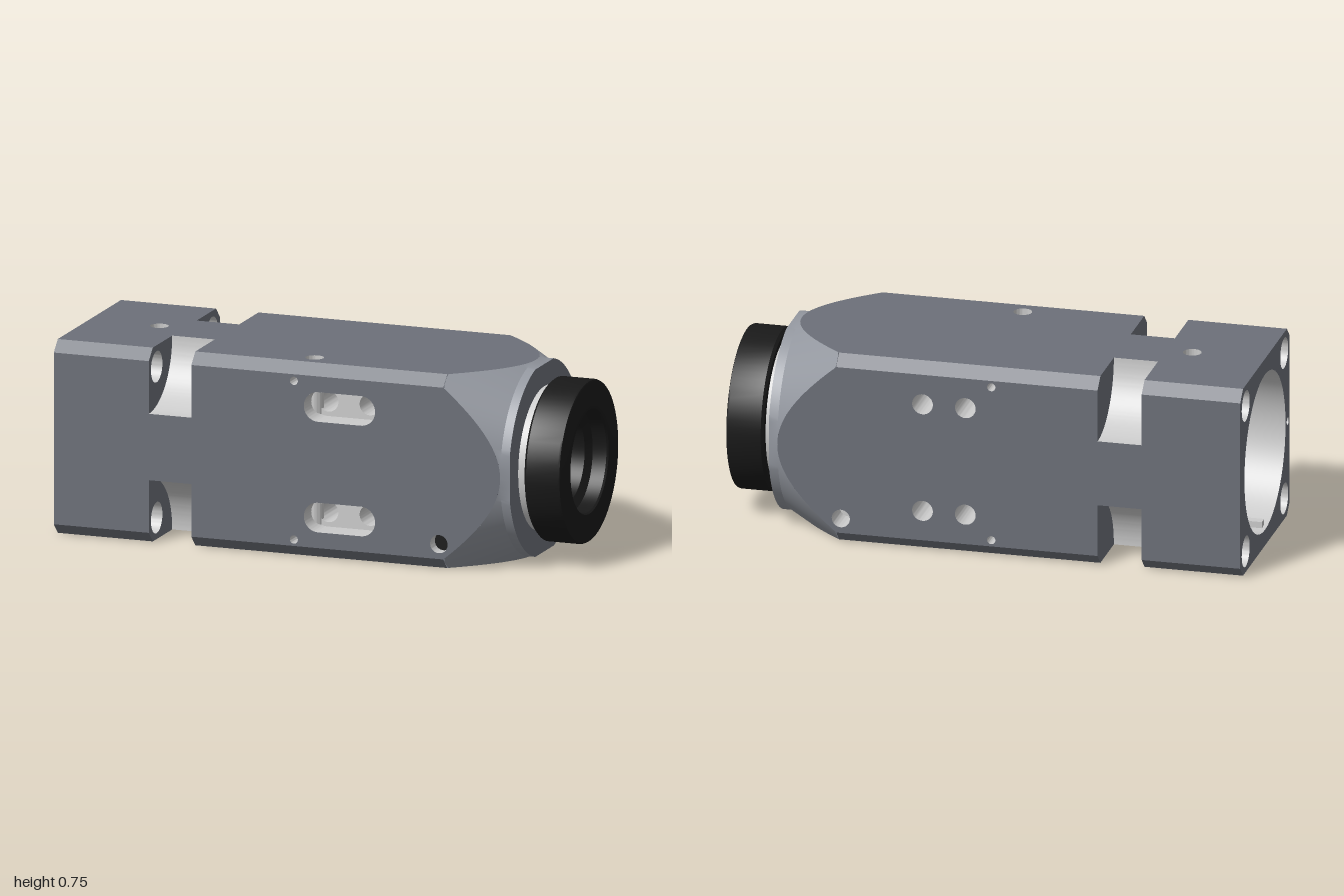
import * as THREE from 'three';
import { toCreasedNormals } from 'three/addons/utils/BufferGeometryUtils.js';

const H = 0.3725; // half width of the square body
const C = 0.33; // where the edge chamfer starts
const NOTCH = [-0.62, -0.45]; // x range of the corner notches
const NR = 0.245; // notch radius about the body corner
const BORE_END = -0.82;

const mat = (color) => new THREE.MeshStandardMaterial({ color, side: THREE.DoubleSide });
const bodyMat = mat(0x6c7079);
const machinedMat = mat(0xcccccc);
const coneMat = mat(0x92969e);
const blackMat = mat(0x191919);

function add(parent, name, geo, material) {
  const m = new THREE.Mesh(geo, material);
  m.name = name;
  parent.add(m);
  return m;
}

// Indexed surface through rows of equal length
function loft(rows) {
  const n = rows[0].length, index = [];
  for (let i = 0; i < rows.length - 1; i++) {
    for (let j = 0; j < n - 1; j++) {
      const a = i * n + j, b = a + n;
      index.push(a, a + 1, b, a + 1, b + 1, b);
    }
  }
  const geo = new THREE.BufferGeometry();
  geo.setAttribute('position', new THREE.Float32BufferAttribute(rows.flat(2), 3));
  geo.setIndex(index);
  geo.computeVertexNormals();
  return toCreasedNormals(geo, 0.5);
}

// Wall that follows a 2D outline from depth a to depth b
const wall = (pts, a, b) => loft([a, b].map((w) => pts.map((p) => [p.x, p.y, w])));
// Turns a drawing in (-z, y) so that its depth runs along x
const alongX = (geo, x = 0) => geo.rotateY(Math.PI / 2).translate(x, 0, 0);

const circle = (x, y, r) => new THREE.Path().absarc(x, y, r, 0, Math.PI * 2);
function stadium(x0, x1, y, r) {
  const p = new THREE.Shape();
  p.absarc(x1, y, r, -Math.PI / 2, Math.PI / 2);
  p.absarc(x0, y, r, Math.PI / 2, Math.PI * 1.5);
  p.closePath();
  return p;
}
const flat = (shape, holes = []) => {
  shape.holes.push(...holes);
  return new THREE.ShapeGeometry(shape, 24);
};

// x at which the end cone has radius r
const coneX = (r) => 0.785 - (r - H) / 0.55;
const chamferX = coneX(Math.hypot(H, C));

function sidePanel(holes) {
  const s = new THREE.Shape();
  const e = H - NR;
  s.moveTo(-1, -C);
  for (const [x, y] of [[NOTCH[0], -C], [NOTCH[0], -e], [NOTCH[1], -e], [NOTCH[1], -C]]) s.lineTo(x, y);
  for (let i = 0; i <= 40; i++) {
    const y = -C + (2 * C * i) / 40;
    s.lineTo(coneX(Math.hypot(H, y)), y);
  }
  for (const [x, y] of [[NOTCH[1], C], [NOTCH[1], e], [NOTCH[0], e], [NOTCH[0], C], [-1, C]]) s.lineTo(x, y);
  return flat(s, holes).translate(0, 0, H);
}

function notchShape() {
  const s = new THREE.Shape();
  s.absarc(-H, H, NR, 0, -Math.PI / 2, true);
  s.lineTo(-H, C);
  s.lineTo(-C, H);
  s.closePath();
  return s;
}

// One side of the body with the chamfered, notched edge above it
function bodySide(name, rotation, holes) {
  const g = new THREE.Group();
  g.name = name;
  g.rotation.x = rotation;
  add(g, 'sidePanel', sidePanel(holes), bodyMat);
  const edge = [new THREE.Vector2(-H, C), new THREE.Vector2(-C, H)];
  add(g, 'rearChamfer', alongX(wall(edge, -1, NOTCH[0])), bodyMat);
  add(g, 'frontChamfer', alongX(wall(edge, NOTCH[1], chamferX)), bodyMat);
  const arc = new THREE.Path().absarc(-H, H, NR, 0, -Math.PI / 2, true).getPoints(24);
  add(g, 'notchSurface', alongX(wall(arc, ...NOTCH)), machinedMat);
  const bolt = circle(-0.29, 0.29, 0.06);
  add(g, 'notchBoltWall', alongX(flat(notchShape(), [bolt]), NOTCH[0]), bodyMat);
  add(g, 'notchFarWall', alongX(flat(notchShape()), NOTCH[1]), bodyMat);
  add(g, 'boltHole', alongX(wall(bolt.getPoints(24), -1, NOTCH[0])), machinedMat);
  return g;
}

// Blind or through hole wall drilled inwards from a side
function drill(side, name, path, depth, floorMat) {
  add(side, name, wall(path.getPoints(24), H - depth, H), machinedMat);
  if (floorMat) add(side, name + 'Floor', flat(new THREE.Shape(path.getPoints(24))).translate(0, 0, H - depth), floorMat);
}

export function createModel() {
  const root = new THREE.Group();
  root.name = 'squareBodiedTube';
  const body = new THREE.Group();
  body.name = 'body';
  body.position.y = H;
  root.add(body);

  // Four sides with their holes
  const rows = [-0.2125, 0.2125];
  const slots = rows.map((y) => stadium(0.057, 0.228, y, 0.057));
  const screws = rows.flatMap((y) => [0.06, 0.225].map((x) => circle(x, y, 0.04)));
  const pins = [-0.305, 0.305].map((y) => circle(-0.04, y, 0.016));
  const plugFront = circle(0.54, -0.2725, 0.035), plugBack = circle(0.54, 0.2725, 0.035);
  const topVent = circle(-0.72, 0, 0.035);
  const crossTop = circle(0, -0.26, 0.035), crossBottom = circle(0, 0.26, 0.035);

  const front = bodySide('frontSide', 0, [...slots, ...pins, plugFront]);
  const top = bodySide('topSide', -Math.PI / 2, [topVent, crossTop]);
  const back = bodySide('backSide', Math.PI, [...screws, ...pins, plugBack]);
  const bottom = bodySide('bottomSide', Math.PI / 2, [crossBottom]);
  body.add(front, top, back, bottom);

  // Slotted recesses on the front, screw holes running through to the back
  const slotDepth = 0.1;
  slots.forEach((s, i) => {
    add(front, 'slotWall', wall(s.getPoints(16), H - slotDepth, H), machinedMat);
    const floor = flat(new THREE.Shape(s.getPoints(16)), screws.slice(i * 2, i * 2 + 2));
    add(front, 'slotFloor', floor.translate(0, 0, H - slotDepth), machinedMat);
  });
  screws.forEach((p) => drill(back, 'screwHole', p, 2 * H - slotDepth));
  pins.forEach((p) => drill(front, 'pinHole', p, 2 * H));
  drill(front, 'plugHole', plugFront, 0.05, blackMat);
  drill(back, 'plugHole', plugBack, 0.12, machinedMat);
  drill(top, 'ventHole', topVent, 0.06, blackMat);
  drill(top, 'crossHole', crossTop, 2 * H);

  // Rear end face with bore, bolt holes and a locating pin hole
  const outline = new THREE.Shape([[-H, C], [-C, H], [C, H], [H, C], [H, -C], [C, -H], [-C, -H], [-H, -C]]
    .map(([u, v]) => new THREE.Vector2(u, v)));
  const bore = circle(0, 0, 0.31), endPin = circle(-0.342, 0, 0.015);
  const bolts = [-0.29, 0.29].flatMap((u) => [-0.29, 0.29].map((v) => circle(u, v, 0.06)));
  add(body, 'rearFace', alongX(flat(outline, [bore, endPin, ...bolts]), -1), bodyMat);
  add(body, 'rearBore', alongX(wall(bore.getPoints(48), -1, BORE_END)), machinedMat);
  add(body, 'endPinHole', alongX(wall(endPin.getPoints(12), -1, -0.9)), machinedMat);
  const key = add(body, 'boreKey', new THREE.BoxGeometry(0.11, 0.03, 0.035), machinedMat);
  key.position.set(-0.93, -0.3, 0.03);

  // Conical front end blending the square section into a round one
  const cone = [[], [], []], face = [[], []];
  for (let i = 0; i <= 192; i++) {
    const t = (i / 192) * Math.PI * 2, c = Math.cos(t), s = Math.sin(t);
    const big = Math.max(Math.abs(c), Math.abs(s));
    const R = Math.min(H / big, (H + C) / (Math.abs(c) + Math.abs(s)));
    const tip = Math.min(H, 0.36 / big);
    const at = (r, x) => [x, r * s, r * c];
    cone[0].push(at(R, coneX(R)));
    cone[1].push(at(H, coneX(H)));
    cone[2].push(at(tip, 0.82));
    face[0].push(at(tip, 0.82));
    face[1].push(at(0.275, 0.82));
  }
  add(body, 'coneEnd', loft(cone), coneMat);
  add(body, 'coneFace', loft(face), bodyMat);

  // Turned parts: neck, and black eyecup with its inner tube
  const turned = (name, pts, material) => {
    const geo = new THREE.LatheGeometry(pts.map(([r, x]) => new THREE.Vector2(r, x)), 72);
    add(body, name, toCreasedNormals(geo, 0.5).rotateZ(-Math.PI / 2), material);
  };
  turned('neck', [[0.275, 0.81], [0.275, 0.86]], machinedMat);
  turned('eyecup', [[0.2, 0.855], [0.3, 0.855], [0.31, 0.865], [0.31, 0.99], [0.307, 0.997], [0.3, 1],
    [0.2, 1], [0.195, 0.993], [0.19, 0.94], [0.158, 0.92], [0.158, BORE_END], [0.31, BORE_END]], blackMat);
  return root;
}
